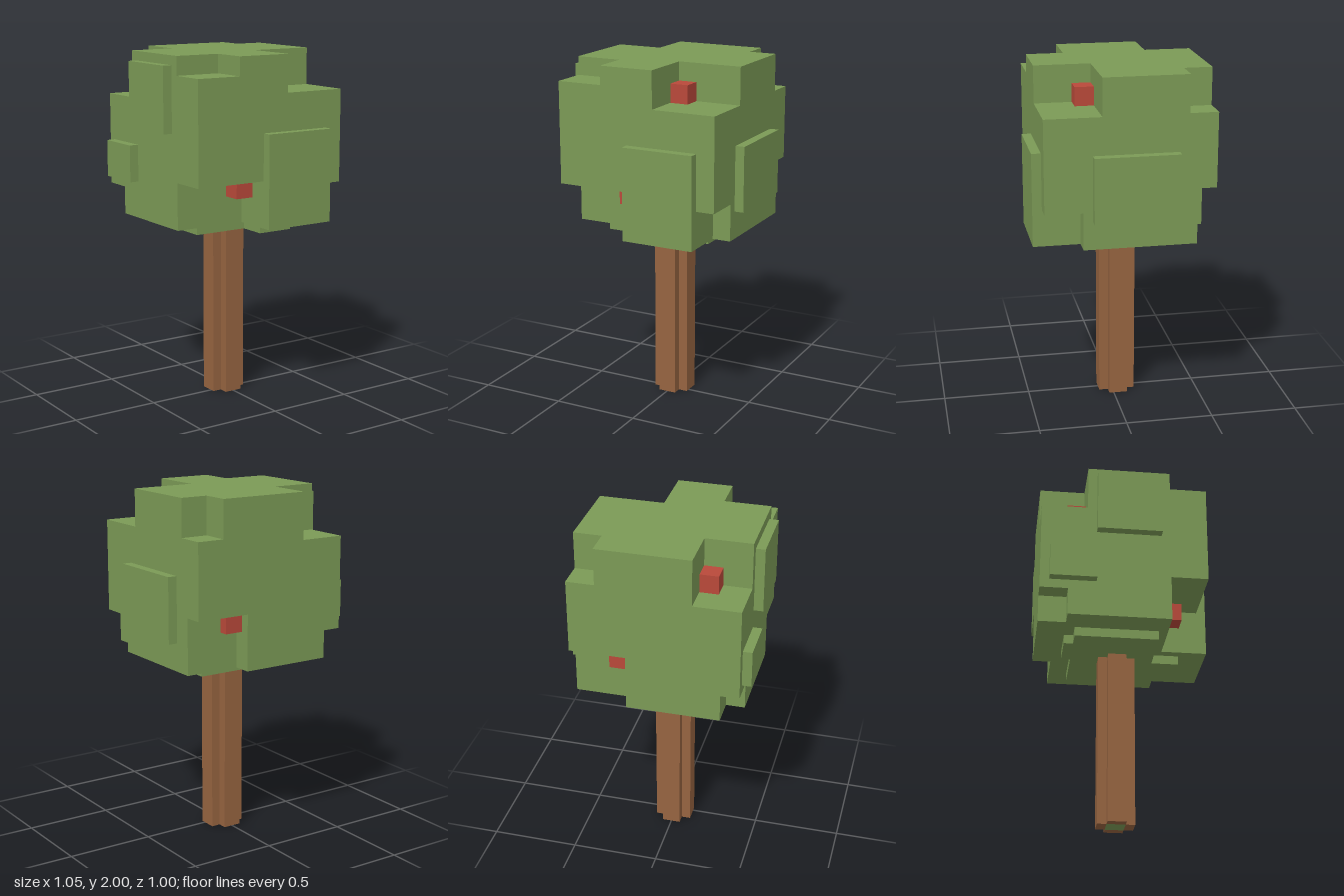
import * as THREE from 'three';

const U = 2 / 38; // one block unit; the tree is 38 blocks tall

function material(name, color) {
  const m = new THREE.MeshStandardMaterial({ color });
  m.name = name;
  return m;
}

// Box from block limits
function block(name, mat, [x0, x1], [y0, y1], [z0, z1]) {
  const geo = new THREE.BoxGeometry((x1 - x0) * U, (y1 - y0) * U, (z1 - z0) * U);
  const mesh = new THREE.Mesh(geo, mat);
  mesh.position.set((x0 + x1) / 2 * U, (y0 + y1) / 2 * U, (z0 + z1) / 2 * U);
  mesh.name = name;
  return mesh;
}

// Rectangle with a notch at each corner; cuts run front right, back right,
// back left, front left (+x being right) and give the inner point, or null
function footprint([x0, x1], [z0, z1], cuts) {
  const outer = [[x1, z1], [x1, z0], [x0, z0], [x0, z1]];
  const points = [];
  outer.forEach(([ox, oz], i) => {
    if (!cuts[i]) {
      points.push([ox, oz]);
      return;
    }
    const [cx, cz] = cuts[i];
    const notch = [[cx, oz], [cx, cz], [ox, cz]];
    points.push(...(i % 2 ? notch.reverse() : notch));
  });
  return new THREE.Shape(points.map(([x, z]) => new THREE.Vector2(x * U, -z * U)));
}

function slab(name, mat, shape, y0, y1) {
  const geo = new THREE.ExtrudeGeometry(shape, { depth: (y1 - y0) * U, bevelEnabled: false });
  geo.rotateX(-Math.PI / 2);
  const mesh = new THREE.Mesh(geo, mat);
  mesh.position.y = y0 * U;
  mesh.name = name;
  return mesh;
}

export function createModel() {
  const leaf = material('leaf green', 0x7b9a56);
  const bark = material('bark brown', 0x966440);
  const red = material('fruit red', 0xb9493a);
  const tree = new THREE.Group();
  tree.name = 'tree';

  // Trunk: cross-shaped column around a green core
  const trunkShape = footprint([-2, 2], [-2.5, 1.5], [[1, 0.5], [1, -1.5], [-1, -1.5], [-1, 0.5]]);
  const hole = [[-1, -0.5], [-1, 1.5], [1, 1.5], [1, -0.5]];
  trunkShape.holes.push(new THREE.Path(hole.map(([x, y]) => new THREE.Vector2(x * U, y * U))));
  tree.add(slab('trunk', bark, trunkShape, 0, 19));
  tree.add(block('trunkCore', leaf, [-1, 1], [0, 19], [-1.5, 0.5]));

  // Crown: stacked layers whose corners are notched at the bottom and top
  const crown = new THREE.Group();
  crown.name = 'crown';
  const corners = [
    { low: 24, lowCut: [7, 4.5], high: 34, highCut: [2, 2.5] },
    { low: 26, lowCut: [3, -7.5], high: 34, highCut: [6, -6.5] },
    { low: 23, lowCut: [-7, -6.5], high: 33, highCut: [-4, -4.5] },
    { low: 25, lowCut: [-1, 4.5], high: 36, highCut: [-4, 4.5] },
  ];
  const levels = [20, 23, 24, 25, 26, 33, 34, 36, 38];
  for (let i = 0; i < levels.length - 1; i++) {
    const y = levels[i];
    const cuts = corners.map(c => (y < c.low ? c.lowCut : y >= c.high ? c.highCut : null));
    crown.add(slab('crownLayer', leaf, footprint([-9, 9], [-9.5, 8.5], cuts), y, levels[i + 1]));
  }

  // Underside plate and raised leaf panels
  const under = footprint([-6, 6], [-6.5, 6.5], [[4, 3.5], [0, -5.5], [-4, -5.5], [0, 3.5]]);
  crown.add(slab('crownUnderside', leaf, under, 19, 20));
  crown.add(block('frontLeafPanel', leaf, [-1, 7], [20, 30], [8.5, 9.5]));
  crown.add(block('leftLeafPanel', leaf, [9, 10], [23, 30], [-5.5, 3.5]));
  crown.add(block('rightUpperLeafPanel', leaf, [-10, -9], [30, 37], [-3.5, 3.5]));
  crown.add(block('rightLowerLeafPanel', leaf, [-10, -9], [24, 28], [-8.5, -3.5]));
  tree.add(crown);

  // Fruit tucked into the notches
  const fruits = [
    [[2, 4], [34, 36], [2.5, 4.5]],
    [[-6, -4], [33, 35], [-6.5, -4.5]],
    [[-3, -1], [23, 25], [4.5, 6.5]],
    [[3, 5], [24, 26], [-8.5, -7.5]],
  ];
  for (const f of fruits) tree.add(block('fruit', red, ...f));

  return tree;
}
